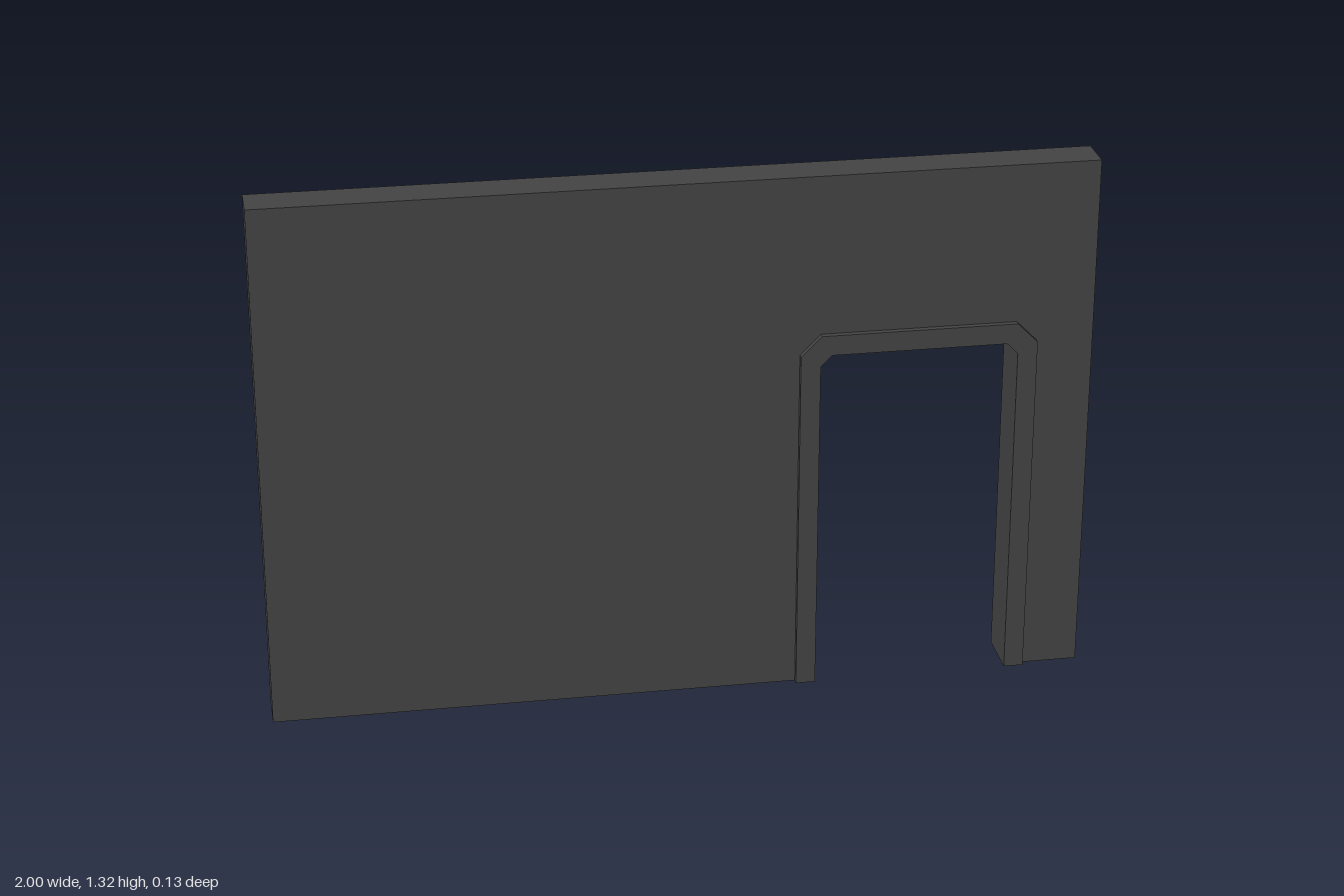
import * as THREE from 'three';

const DOOR_X = 0.573; // centre of the doorway

// Outline of a doorway with chamfered upper corners, from bottom left to bottom right
function doorway(halfWidth, top, chamfer) {
  const l = DOOR_X - halfWidth, r = DOOR_X + halfWidth;
  return [
    [l, 0], [l, top - chamfer], [l + chamfer, top],
    [r - chamfer, top], [r, top - chamfer], [r, 0],
  ].map(([x, y]) => new THREE.Vector2(x, y));
}

// Extruded slab centred on z = 0
function slab(name, points, depth, material) {
  const geometry = new THREE.ExtrudeGeometry(new THREE.Shape(points), { depth, bevelEnabled: false });
  geometry.translate(0, 0, -depth / 2);
  const mesh = new THREE.Mesh(geometry, material);
  mesh.name = name;
  return mesh;
}

export function createModel() {
  const group = new THREE.Group();
  group.name = 'wallWithDoorway';
  const darkGrey = new THREE.MeshStandardMaterial({ color: 0x444444 });
  darkGrey.name = 'darkGrey';

  const outer = doorway(0.288, 0.925, 0.05);
  const inner = doorway(0.24, 0.875, 0.027);

  // Wall, notched where the door frame sits
  const corners = [[1, 0], [1, 1.322], [-1, 1.322], [-1, 0]].map(([x, y]) => new THREE.Vector2(x, y));
  group.add(slab('wall', [...outer, ...corners], 0.1, darkGrey));

  // Door frame, standing slightly proud of the wall on both sides
  group.add(slab('doorFrame', [...outer, ...inner.slice().reverse()], 0.13, darkGrey));

  return group;
}
